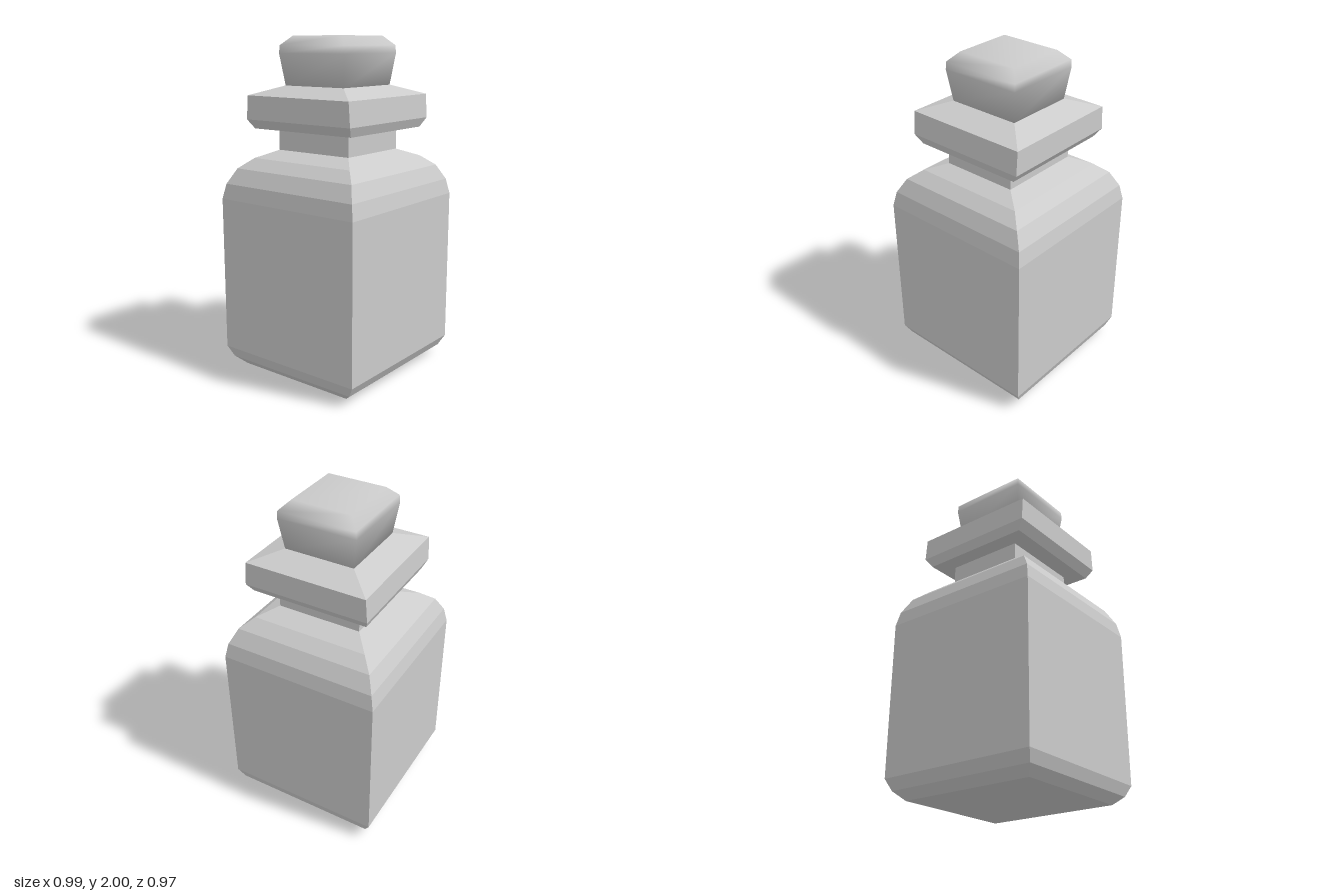
import * as THREE from 'three';

// Rectangular loft: each level is [half width x, half depth z, height y], bottom to top.
function squareLoft(levels, smooth) {
  const positions = [], index = [];
  const corners = [[1, 1], [1, -1], [-1, -1], [-1, 1]];
  for (const [hx, hz, y] of levels)
    for (const [sx, sz] of corners) positions.push(sx * hx, y, sz * hz);
  for (let i = 0; i < levels.length - 1; i++) {
    for (let j = 0; j < 4; j++) {
      const a = i * 4 + j, b = i * 4 + (j + 1) % 4;
      index.push(a, b, b + 4, a, b + 4, a + 4);
    }
  }
  // bottom and top caps
  const t = (levels.length - 1) * 4;
  index.push(0, 2, 1, 0, 3, 2, t, t + 1, t + 2, t, t + 2, t + 3);
  let g = new THREE.BufferGeometry();
  g.setAttribute('position', new THREE.Float32BufferAttribute(positions, 3));
  g.setIndex(index);
  if (!smooth) g = g.toNonIndexed();
  g.computeVertexNormals();
  return g;
}

export function createModel() {
  const group = new THREE.Group();
  group.name = 'stopperedBottle';

  function addPart(name, levels, smooth = false) {
    const material = new THREE.MeshStandardMaterial({ color: 0xcccccc, flatShading: !smooth });
    const mesh = new THREE.Mesh(squareLoft(levels, smooth), material);
    mesh.name = name;
    group.add(mesh);
  }

  // Body with chamfered foot, rounded shoulder, narrow neck and flared lip
  addPart('bottle', [
    [0.42, 0.39, 0],
    [0.47, 0.45, 0.05],
    [0.495, 0.487, 0.115],
    [0.495, 0.487, 1.05],
    [0.477, 0.468, 1.14],
    [0.425, 0.425, 1.23],
    [0.35, 0.355, 1.29],
    [0.235, 0.258, 1.335],
    [0.235, 0.258, 1.465],
    [0.34, 0.355, 1.465],
    [0.38, 0.38, 1.52],
    [0.38, 0.37, 1.66],
    [0.225, 0.215, 1.715],
  ]);

  // Softly shaded stopper, widening upward to a bevelled top
  addPart('stopper', [
    [0.222, 0.213, 1.71],
    [0.247, 0.24, 1.9],
    [0.245, 0.236, 1.945],
    [0.19, 0.18, 2],
  ], true);

  return group;
}
